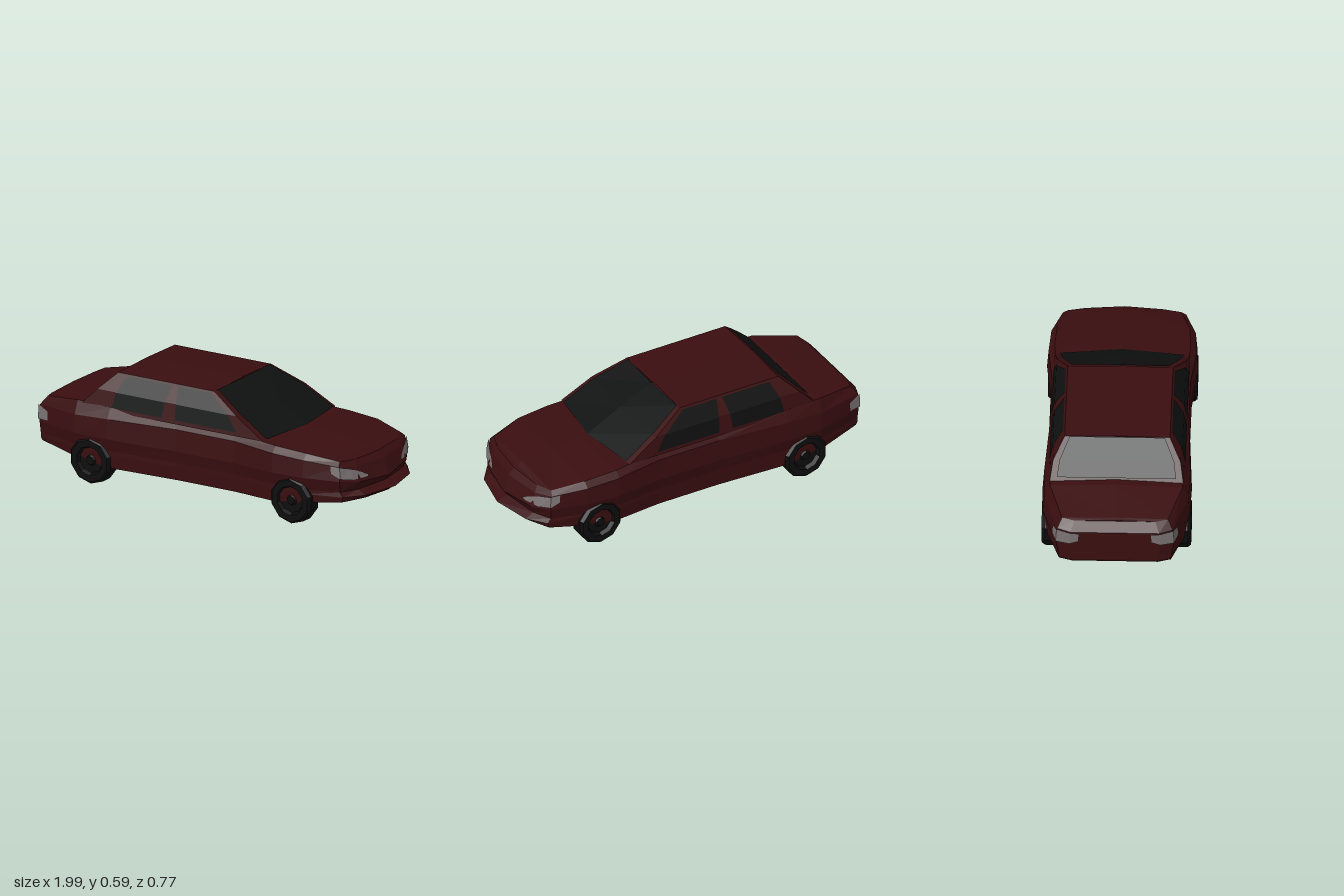
import * as THREE from 'three';

const paint = new THREE.MeshStandardMaterial({ color: 0x3a0e10 }); paint.name = 'dark red paint';
const glass = new THREE.MeshStandardMaterial({ color: 0x0f1010 }); glass.name = 'black glass';
const rubber = new THREE.MeshStandardMaterial({ color: 0x0d0d0d }); rubber.name = 'black rubber';
const lens = new THREE.MeshStandardMaterial({ color: 0x7a7272 }); lens.name = 'grey lamp lens';

// Flat-shaded patch from rows of points (columns run right, rows run up, seen from outside)
function patch(rows) {
  const p = [];
  for (let j = 0; j < rows.length - 1; j++)
    for (let i = 0; i < rows[0].length - 1; i++) {
      const a = rows[j][i], b = rows[j][i + 1], c = rows[j + 1][i + 1], d = rows[j + 1][i];
      p.push(...a, ...b, ...c, ...a, ...c, ...d);
    }
  const g = new THREE.BufferGeometry();
  g.setAttribute('position', new THREE.Float32BufferAttribute(p, 3));
  g.computeVertexNormals();
  return g;
}

function add(parent, name, geometry, material) {
  const mesh = new THREE.Mesh(geometry, material);
  mesh.name = name;
  parent.add(mesh);
  return mesh;
}

// A left patch and its mirror image on the right
function addPair(parent, name, rows, material) {
  add(parent, name + 'Left', patch(rows), material);
  const mirrored = rows.map(r => r.map(([x, y, z]) => [x, y, -z])).reverse();
  add(parent, name + 'Right', patch(mirrored), material);
}

// Body: lengthwise lines from underside to deck, sharing stations and half-widths
const stationX = [-0.98, -0.98, -0.955, -0.7, -0.5, -0.1, 0.25, 0.5, 0.68, 0.88, 0.955, 1];
const halfWidth = [0, 0.23, 0.3, 0.375, 0.38, 0.36, 0.36, 0.385, 0.375, 0.32, 0.22, 0];
const noseWeight = { 9: 0.3, 10: 0.75, 11: 1 };
const tailWeight = { 0: 1, 1: 1, 2: 0.8 };
function line(width, y, nose, tail) {
  return stationX.map((x, i) => [
    x + (noseWeight[i] || 0) * nose + (tailWeight[i] || 0) * tail,
    Array.isArray(y) ? y[i] : y,
    halfWidth[i] * width,
  ]);
}
const floorY = [0.14, 0.14, 0.14, 0.115, 0.09, 0.09, 0.09, 0.09, 0.11, 0.13, 0.14, 0.145];
const waistY = [0.26, 0.26, 0.26, 0.26, 0.26, 0.26, 0.26, 0.26, 0.26, 0.255, 0.24, 0.225];
const shoulderY = [0.34, 0.34, 0.345, 0.355, 0.365, 0.375, 0.375, 0.36, 0.35, 0.33, 0.315, 0.31];
const deckY = [0.385, 0.385, 0.39, 0.425, 0.42, 0.41, 0.41, 0.392, 0.38, 0.352, 0.345, 0.345];
const crownY = [0.39, 0.39, 0.395, 0.435, 0.43, 0.42, 0.41, 0.402, 0.388, 0.365, 0.35, 0.345];
const waist = line(1, waistY, -0.035, 0);
const shoulder = line(0.98, shoulderY, -0.07, 0);
const bodyLines = [
  line(0, floorY, -0.04, 0.03),
  line(0.74, floorY, -0.04, 0.03),
  line(0.95, floorY.map(y => y + 0.012), -0.03, 0.01),
  line(0.96, 0.17, 0, 0),
  line(0.96, 0.195, -0.06, 0),
  waist,
  shoulder,
  line(0.9, deckY, -0.1, 0.04),
  line(0, crownY, -0.1, 0.04),
];

// Lamp strip wrapped over the body between waist and shoulder; cuts are [station, low, high]
function lampRows(cuts) {
  const lerp = (a, b, t) => a.map((v, k) => v + (b[k] - v) * t);
  const point = (u, v) => {
    const i = Math.min(Math.floor(u), 10), t = u - i;
    const [x, y, z] = lerp(lerp(waist[i], waist[i + 1], t), lerp(shoulder[i], shoulder[i + 1], t), v);
    return [x * 1.008, y, z * 1.01];
  };
  return [cuts.map(c => point(c[0], c[1])), cuts.map(c => point(c[0], c[2]))];
}

// Cabin side: half-width at height y
function sideZ(y) {
  return y < 0.5 ? 0.345 - (y - 0.4) * 0.2 : 0.325 - (y - 0.5) * 0.648;
}

function addCabin(car) {
  const cabin = new THREE.Group();
  cabin.name = 'cabin';
  car.add(cabin);
  // Rings hold: height, rear x, front corner x, front centre x
  const rings = [[0.4, -0.69, 0.42, 0.46], [0.5, -0.59, 0.25, 0.275], [0.588, -0.5, 0.08, 0.085]];
  const rows = rings.map(([y, r, f, c]) => [[r, y, 0], [r, y, sideZ(y)], [f, y, sideZ(y)], [c, y, 0]]);
  rows.push(rows[2].map(([x]) => [x, 0.594, 0]));
  addPair(cabin, 'cabinShell', rows, paint);

  // Windscreen and rear window
  const d = 0.006;
  add(cabin, 'windscreen', patch(rings.map(([y, , f, c]) => {
    const z = sideZ(y) * 0.92;
    return [[f + d, y + d, z], [c + d, y + d, 0], [f + d, y + d, -z]];
  })), glass);
  const rear = [[0.44, -0.654], [0.5, -0.59], [0.586, -0.502]];
  add(cabin, 'rearWindow', patch(rear.map(([y, x]) => {
    const z = sideZ(y) * 0.9;
    return [[x - d, y + d, -z], [x - d, y + d, z]];
  })), glass);

  // Door windows: height, rear x, front x
  const windows = {
    frontDoorWindow: [[0.42, -0.11, 0.26], [0.5, -0.115, 0.2], [0.58, -0.13, 0.065]],
    rearDoorWindow: [[0.42, -0.49, -0.19], [0.5, -0.475, -0.18], [0.58, -0.44, -0.165]],
  };
  for (const [name, cuts] of Object.entries(windows))
    addPair(cabin, name, cuts.map(([y, a, b]) => [[a, y, sideZ(y) + 0.005], [b, y, sideZ(y) + 0.005]]), glass);
}

function addWheels(car) {
  const profile = [[0, -0.05], [0.105, -0.052], [0.125, -0.03], [0.125, 0.035], [0.112, 0.052],
    [0.078, 0.052], [0.068, 0.03], [0.03, 0.03], [0.022, 0.042], [0, 0.042]];
  const geometry = new THREE.LatheGeometry(profile.map(p => new THREE.Vector2(...p)), 10)
    .rotateX(Math.PI / 2).toNonIndexed();
  geometry.computeVertexNormals();
  for (const [end, x] of [['front', 0.605], ['rear', -0.605]])
    for (const [side, s] of [['Left', 1], ['Right', -1]]) {
      // +z side keeps its outer face outward; the other side is turned round
      const wheel = add(car, end + 'Wheel' + side, geometry, rubber);
      wheel.position.set(x, 0.125, s * 0.328);
      if (s < 0) wheel.rotation.y = Math.PI;
    }
}

export function createModel() {
  const car = new THREE.Group();
  car.name = 'saloonCar';
  addPair(car, 'body', bodyLines, paint);
  addCabin(car);
  addPair(car, 'headlamp', lampRows([[8.75, 0.5, 1], [9, 0.2, 1], [9.6, 0.15, 0.9], [10.3, 0.25, 0.4]]), lens);
  addPair(car, 'tailLamp', lampRows([[0.8, 0.35, 0.95], [1, 0.15, 1], [2, 0.1, 1], [2.27, 0.15, 0.7]]), lens);
  addWheels(car);
  return car;
}
